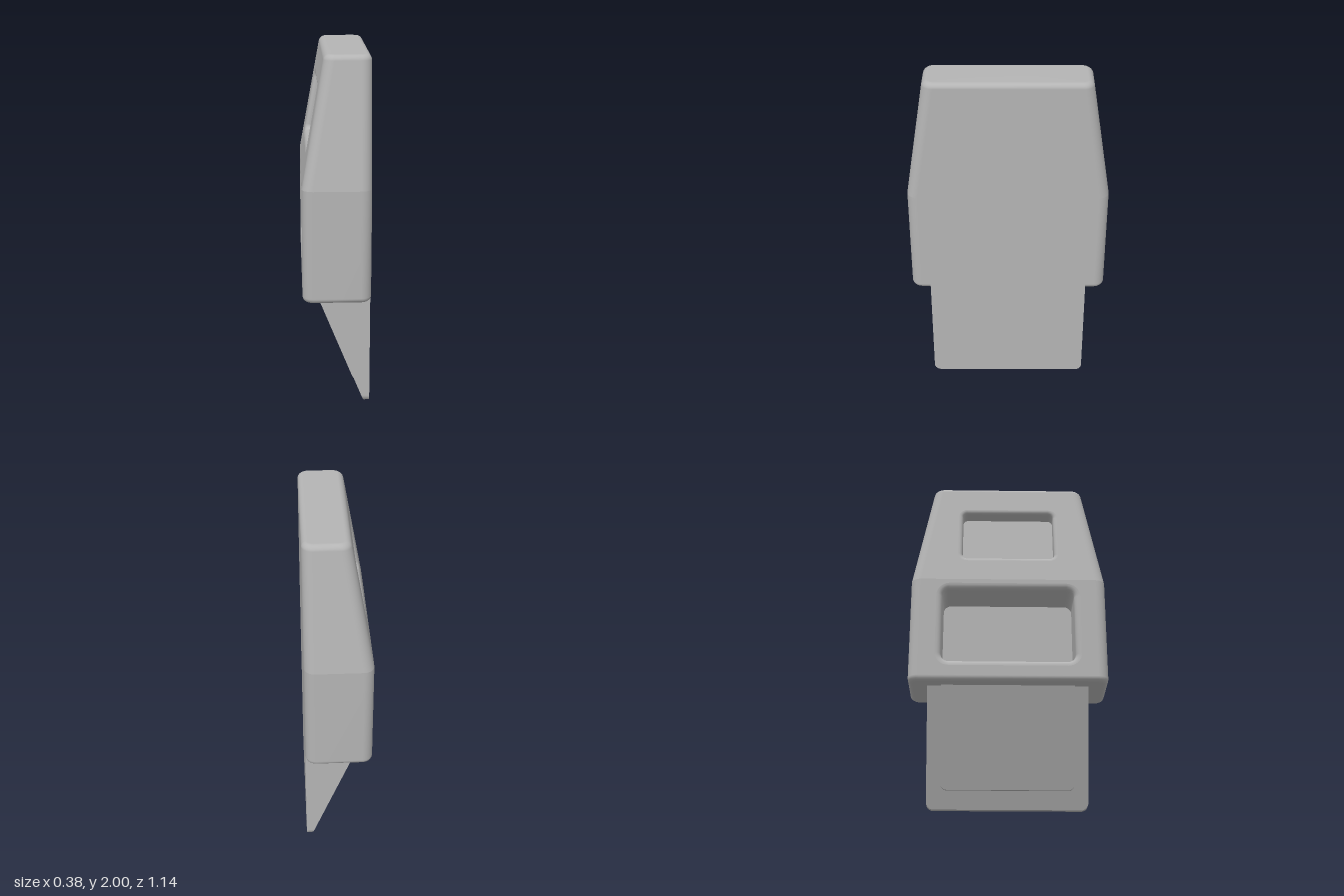
import * as THREE from 'three';

const N = 8; // segments per rounded corner

// Counter-clockwise rounded rectangle as [a, b] pairs
function roundedRect(a0, a1, b0, b1, r) {
  const centres = [[a1 - r, b1 - r], [a0 + r, b1 - r], [a0 + r, b0 + r], [a1 - r, b0 + r]];
  const pts = [];
  centres.forEach(([a, b], q) => {
    for (let i = 0; i <= N; i++) {
      const t = (q + i / N) * Math.PI / 2;
      pts.push([a + r * Math.cos(t), b + r * Math.sin(t)]);
    }
  });
  return pts;
}

// Smooth skin over closed rings; one segment may be left open between rings from..to
function loft(rings, open) {
  const n = rings[0].length, index = [], kept = [];
  for (let i = 0; i < rings.length - 1; i++) {
    for (let j = 0; j < n; j++) {
      const a = i * n + j, b = i * n + (j + 1) % n;
      const quad = [a, b, b + n, a, b + n, a + n];
      index.push(...quad);
      if (!(open && i === open.ring && j === open.segment)) kept.push(...quad);
    }
  }
  const g = new THREE.BufferGeometry();
  g.setAttribute('position', new THREE.Float32BufferAttribute(rings.flat(2), 3));
  g.setIndex(index);
  g.computeVertexNormals();
  g.setIndex(kept);
  return g;
}

// Move every vertex by a rule
function remap(g, rule) {
  const p = g.attributes.position;
  for (let i = 0; i < p.count; i++) p.setXYZ(i, ...rule(p.getX(i), p.getY(i), p.getZ(i)));
  g.computeVertexNormals();
  return g;
}

const toShape = pts => new THREE.Shape(pts.map(p => new THREE.Vector2(...p)));

export function createModel() {
  const model = new THREE.Group();
  const grey = new THREE.MeshStandardMaterial({ color: 0xb4b4b4 });
  grey.name = 'plain grey';
  const add = (name, geometry) => {
    const m = new THREE.Mesh(geometry, grey);
    m.name = name;
    model.add(m);
  };

  // Body proportions: straight below the shoulder, tapering above it
  const back = 0.19, bottom = 0.65, shoulder = 1.29, top = 2, corner = 0.06, edge = 0.03;
  const rise = y => Math.max(0, y - shoulder) / (top - shoulder);
  const faceX = y => -0.19 + 0.125 * rise(y);
  const halfZ = y => 0.57 - 0.115 * rise(y);

  const bodyRing = (y, inset = 0) =>
    roundedRect(faceX(y) + inset, back - inset, -halfZ(y) + inset, halfZ(y) - inset, corner - inset)
      .map(([a, b]) => [a, y, -b]);
  const centreRing = y => bodyRing(y).map(() => [0.05, y, 0]);

  const lower = [centreRing(bottom)], upper = [bodyRing(shoulder)];
  const steps = 5;
  for (let i = 0; i <= steps; i++) {
    const t = i / steps * Math.PI / 2;
    lower.push(bodyRing(bottom + edge * (1 - Math.cos(t)), edge * (1 - Math.sin(t))));
    upper.push(bodyRing(top - edge * (1 - Math.sin(t)), edge * (1 - Math.cos(t))));
  }
  lower.push(bodyRing(shoulder));
  upper.push(centreRing(top));
  const segment = 2 * N + 1;
  add('lowerBody', loft(lower, { ring: lower.length - 2, segment }));
  add('upperBody', loft(upper, { ring: 0, segment }));

  // Face panels with rounded pockets sunk into them
  const panels = [
    { name: 'lower', y0: bottom + edge, y1: shoulder, z: 0.42, p0: 0.74, p1: 1.265, r: 0.08, lip: 0.035, depth: 0.24 },
    { name: 'upper', y0: shoulder, y1: top - edge, z: 0.3, p0: 1.43, p1: 1.825, r: 0.055, lip: 0.025, depth: 0.095 },
  ];
  for (const { name, y0, y1, z, p0, p1, r, lip, depth } of panels) {
    const w0 = halfZ(y0) - corner, w1 = halfZ(y1) - corner;
    const shape = toShape([[-w0, y0], [w0, y0], [w1, y1], [-w1, y1]]);
    shape.holes.push(toShape(roundedRect(-z, z, p0, p1, r)));
    add(name + 'Face', remap(new THREE.ShapeGeometry(shape), (u, v) => [faceX(v), v, u]));

    const ring = (inset, d) => roundedRect(-z + inset, z - inset, p0 + inset, p1 - inset, r - inset)
      .map(([u, v]) => [faceX(v) + d, v, u]);
    const walls = [];
    for (let i = 0; i <= steps; i++) {
      const t = i / steps * Math.PI / 2;
      walls.push(ring(lip * Math.sin(t), lip * (1 - Math.cos(t))));
    }
    walls.push(ring(lip, depth));
    add(name + 'PocketWalls', loft(walls));
    const mid = (p0 + p1) / 2;
    const floor = ring(lip, depth);
    add(name + 'PocketFloor', loft([floor, floor.map(() => [faceX(mid) + depth, mid, 0])]));
  }

  // Wedge blade, flush with the flat back, and a thin raised plate on its slope
  const slopeX = y => 0.16 - 0.4 * y;
  const wedge = (halfWidth, y0, y1, r, backX, frontX) => {
    const pts = roundedRect(-halfWidth, halfWidth, y0, y1, r).slice(2 * N + 2);
    const shape = toShape([[halfWidth, y1], [-halfWidth, y1], ...pts]);
    const g = new THREE.ExtrudeGeometry(shape, { depth: 1, bevelEnabled: false });
    return remap(g, (u, v, t) => [backX(v) + (frontX(v) - backX(v)) * t, v, u]);
  };
  add('blade', wedge(0.46, 0, 0.69, 0.04, () => back, slopeX));
  add('bladePlate', wedge(0.38, 0.1, 0.67, 0.035, slopeX, y => slopeX(y) - 0.014));

  return model;
}
